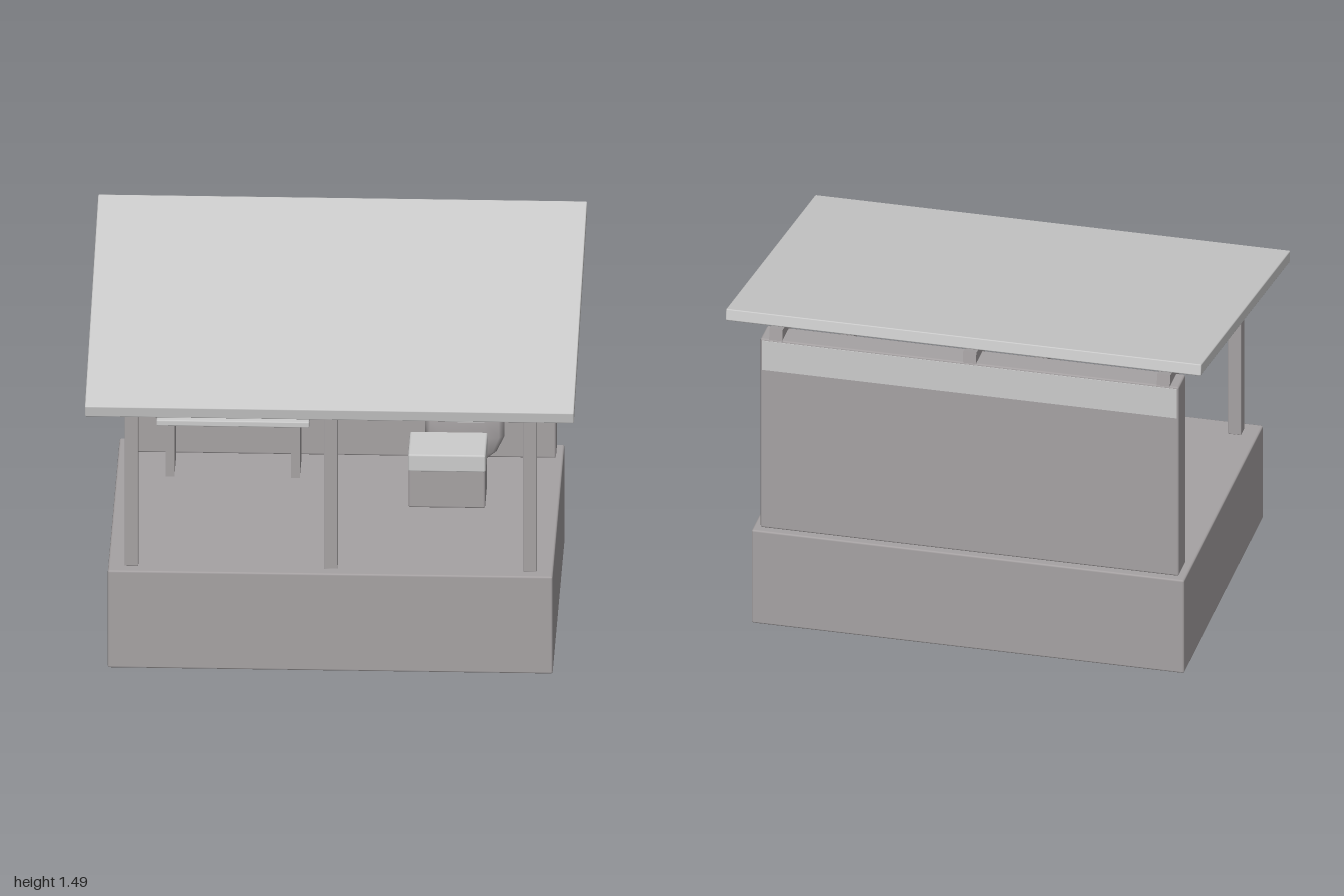
import * as THREE from 'three';
import { RoundedBoxGeometry } from 'three/addons/geometries/RoundedBoxGeometry.js';

const material = (name, color) => {
  const m = new THREE.MeshStandardMaterial({ color });
  m.name = name;
  return m;
};

export function createModel() {
  const light = material('light grey', 0xcccccc);
  const dark = material('warm grey', 0xa6a2a3);
  const group = new THREE.Group();

  const add = (name, geometry, mat) => {
    const mesh = new THREE.Mesh(geometry, mat);
    mesh.name = name;
    group.add(mesh);
    return mesh;
  };
  // Box from its [min, max] extents, with an optional small bevel
  const block = (name, mat, [x0, x1], [y0, y1], [z0, z1], bevel = 0) => {
    const size = [x1 - x0, y1 - y0, z1 - z0];
    const geometry = bevel
      ? new RoundedBoxGeometry(...size, 1, bevel)
      : new THREE.BoxGeometry(...size);
    const mesh = add(name, geometry, mat);
    mesh.position.set((x0 + x1) / 2, (y0 + y1) / 2, (z0 + z1) / 2);
    return mesh;
  };

  // Platform and back wall
  block('platform', dark, [-0.91, 0.91], [0, 0.433], [-0.694, 0.673], 0.008);
  block('backWall', dark, [-0.88, 0.88], [0.433, 1.313], [-0.664, -0.545], 0.008);
  block('wallBand', light, [-0.872, 0.872], [1.17, 1.305], [-0.667, -0.663]);

  // Front posts and sloping rafters
  for (const x of [-0.815, 0, 0.815]) {
    block('post', dark, [x - 0.028, x + 0.028], [0.433, 1.19], [0.565, 0.622], 0.003);
    const rafter = add('rafter', new THREE.BoxGeometry(0.055, 0.05, 1.307), dark);
    rafter.position.set(x, 1.245, -0.013);
    rafter.rotation.x = 0.14;
  }

  // Single-pitch roof
  const roof = add('roof', new RoundedBoxGeometry(2, 0.05, 1.56, 1, 0.005), light);
  roof.position.set(0, 1.322, 0);
  roof.rotation.x = 0.182;

  // Table with panel legs
  block('tableTop', light, [-0.745, -0.12], [0.662, 0.688], [-0.502, -0.292], 0.005);
  for (const x of [-0.69, -0.177]) {
    block('tableLeg', dark, [x - 0.018, x + 0.018], [0.433, 0.664], [-0.487, -0.305]);
  }

  // Crate with a lighter upper part
  block('crate', dark, [0.296, 0.61], [0.44, 0.675], [-0.242, -0.002], 0.008);
  block('crateTop', light, [0.294, 0.612], [0.6, 0.677], [-0.244, 0], 0.008);

  // Flattened round cushion, lighter above its split line
  const split = 1.335;
  const cushion = (name, mat, start, length, rows) => {
    const geometry = new THREE.SphereGeometry(1, 12, rows, 0, Math.PI * 2, start, length);
    const mesh = add(name, geometry, mat);
    mesh.scale.set(0.167, 0.167, 0.042);
    mesh.position.set(0.51, 0.606, -0.453);
  };
  cushion('cushionTop', light, 0, split, 3);
  cushion('cushionBottom', dark, split, Math.PI - split, 4);

  return group;
}
